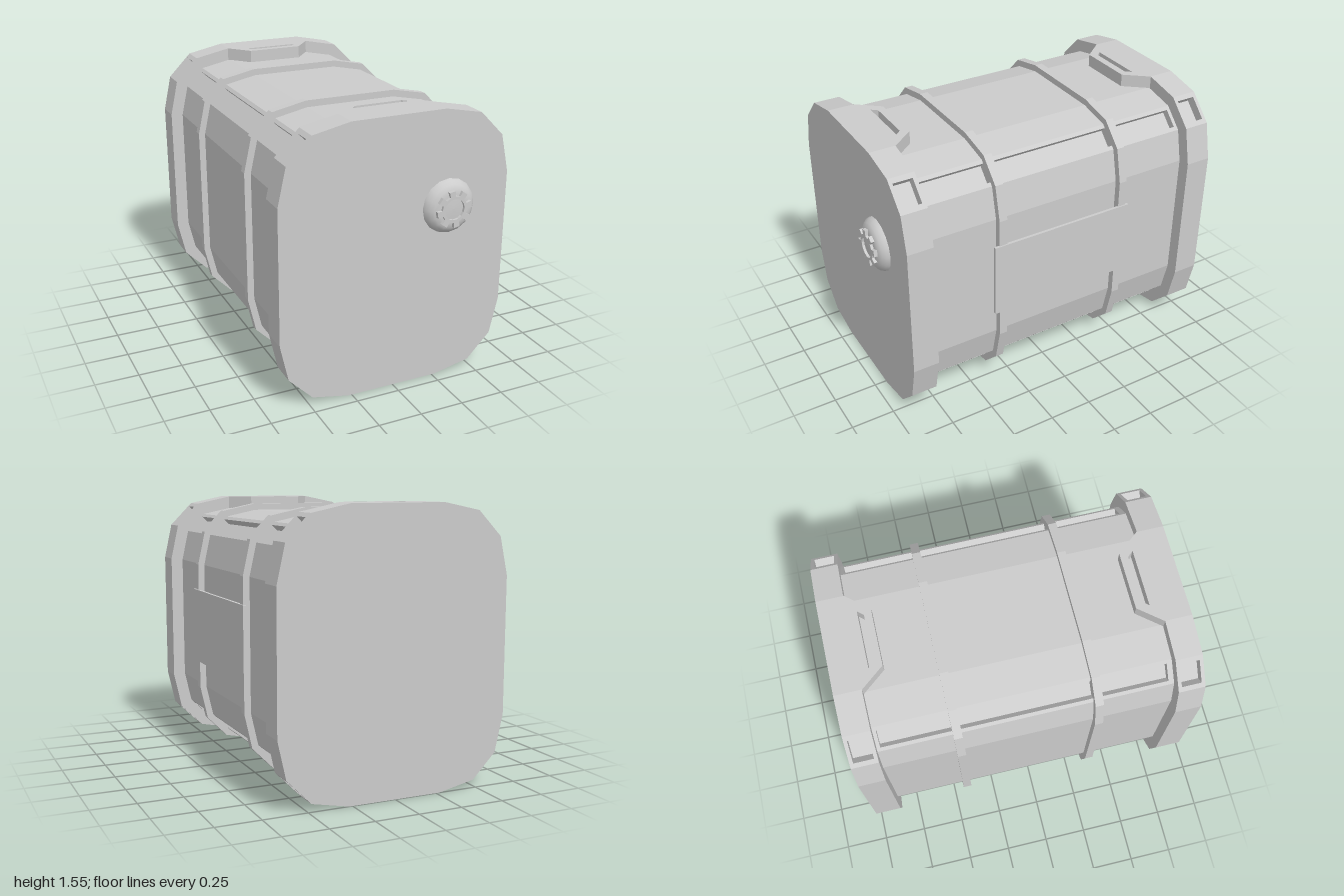
import * as THREE from 'three';

const CY = 0.775; // height of the long axis
const mat = new THREE.MeshStandardMaterial({ color: 0xcccccc });

function add(parent, name, geometry) {
  const mesh = new THREE.Mesh(geometry, mat);
  mesh.name = name;
  parent.add(mesh);
  return mesh;
}

// Chamfered outline around the axis, inset from the cap size, with optional notches in the four diagonal faces
function outline(inset, notch = 0) {
  const q = [
    [0.27 - 0.11 * inset, 0.775 - inset],
    [0.483 - 0.49 * inset, 0.731 - 0.92 * inset],
    [0.62 - 0.92 * inset, 0.592 - 0.49 * inset],
    [0.667 - inset, 0.382 - 0.11 * inset],
  ];
  if (notch) {
    const [a, b] = [q[1], q[2]], d = notch * Math.SQRT1_2;
    const at = (t, k) => [a[0] + t * (b[0] - a[0]) - k, a[1] + t * (b[1] - a[1]) - k];
    q.splice(2, 0, at(0.15, 0), at(0.15, d), at(0.85, d), at(0.85, 0));
  }
  const r = [...q].reverse();
  const flip = (list, sx, sy) => list.map(([x, y]) => new THREE.Vector2(x * sx, y * sy));
  return new THREE.Shape([...flip(q, 1, 1), ...flip(r, 1, -1), ...flip(q, -1, -1), ...flip(r, -1, 1)]);
}

function slab(shape, z0, z1) {
  return new THREE.ExtrudeGeometry(shape, { depth: z1 - z0, bevelEnabled: false }).translate(0, 0, z0);
}

// Solid ends with a notched stretch between them form closed slots
function slottedBlock(parent, name, inset, notch, [z0, z1, z2, z3]) {
  add(parent, name + 'InnerEnd', slab(outline(inset), z0, z1));
  add(parent, name + 'Slotted', slab(outline(inset, notch), z1, z2));
  add(parent, name + 'OuterEnd', slab(outline(inset), z2, z3));
}

// End cap with a slotted tongue above and below, inner face at z = 0
function endCap(name) {
  const cap = new THREE.Group();
  cap.name = name;
  slottedBlock(cap, 'cap', 0, 0.056, [0, 0.02, 0.13, 0.15]);
  const v = (x, y) => new THREE.Vector2(x, y);
  const tongue = new THREE.Shape([v(-0.272, 0), v(0.272, 0), v(0.165, 0.13), v(-0.165, 0.13)]);
  tongue.holes.push(new THREE.Path([v(-0.165, 0.055), v(-0.135, 0.088), v(0.135, 0.088), v(0.165, 0.055)]));
  for (const side of ['top', 'bottom']) {
    const geo = new THREE.ExtrudeGeometry(tongue, { depth: 0.085, bevelEnabled: false });
    geo.rotateX(-Math.PI / 2).translate(0, 0.69, 0);
    if (side === 'bottom') geo.rotateZ(Math.PI);
    add(cap, side + 'Tongue', geo);
  }
  return cap;
}

// Domed filler cap with a toothed ring
function fillerCap() {
  const knob = new THREE.Group();
  knob.name = 'fillerCap';
  const dome = [[0.153, 0], [0.146, 0.018], [0.13, 0.036], [0.112, 0.048], [0.085, 0.055], [0, 0.057]]
    .map(([r, y]) => new THREE.Vector2(r, y));
  add(knob, 'dome', new THREE.LatheGeometry(dome, 16).rotateX(Math.PI / 2));

  const ring = [];
  const teeth = 8, step = (Math.PI * 2) / teeth;
  for (let i = 0; i < teeth; i++) {
    for (const [t, r] of [[-0.27, 0.074], [-0.22, 0.104], [0.22, 0.104], [0.27, 0.074]]) {
      const a = (i + t) * step + 0.17;
      ring.push(new THREE.Vector2(r * Math.cos(a), r * Math.sin(a)));
    }
  }
  const shape = new THREE.Shape(ring);
  shape.holes.push(new THREE.Path().absarc(0, 0, 0.059, 0, Math.PI * 2, true));
  add(knob, 'toothedRing', new THREE.ExtrudeGeometry(shape, { depth: 0.035, bevelEnabled: false, curveSegments: 8 })
    .translate(0, 0, 0.035));
  return knob;
}

export function createModel() {
  const model = new THREE.Group();
  model.name = 'canister';

  // Everything below is built around the long axis
  const shell = new THREE.Group();
  shell.name = 'shell';
  shell.position.y = CY;
  model.add(shell);

  slottedBlock(shell, 'body', 0.073, 0.042, [-0.85, -0.83, 0.75, 0.78]);

  // Straps around the body
  add(shell, 'frontStrap', slab(outline(0.035), 0.33, 0.377));
  add(shell, 'backStrap', slab(outline(0.035), -0.443, -0.396));

  const front = endCap('frontCap');
  front.position.z = 0.78;
  const back = endCap('backCap');
  back.position.z = -0.85;
  back.rotation.y = Math.PI;
  shell.add(front, back);

  // Thin plate carried by the straps on the +x side
  add(model, 'sidePlate', new THREE.BoxGeometry(0.016, 0.44, 0.87)).position.set(0.632, 0.78, -0.027);

  const knob = fillerCap();
  knob.position.set(0.304, 1.016, 0.93);
  model.add(knob);
  return model;
}
